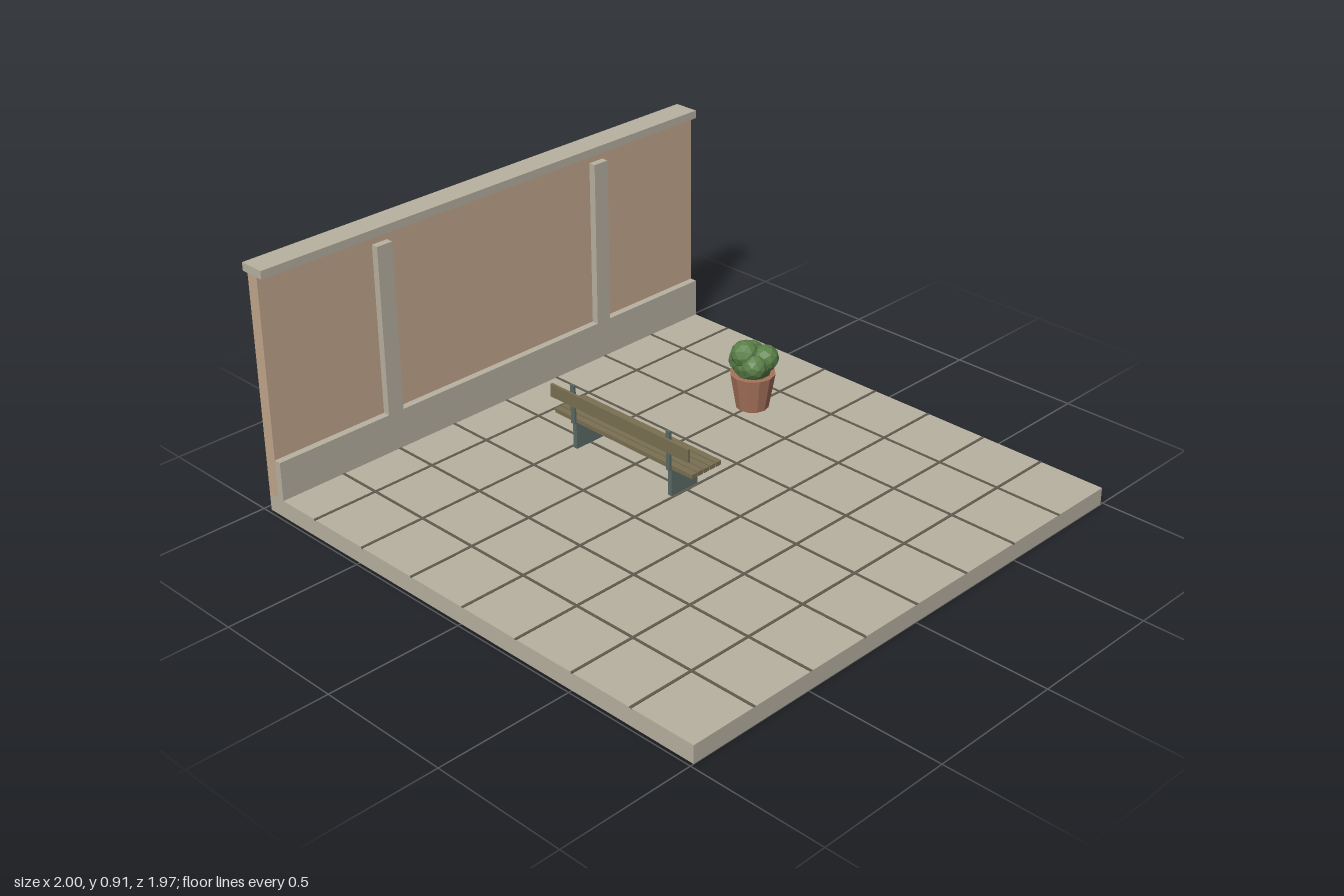
import * as THREE from 'three';

const mat = (color, flatShading = false) => new THREE.MeshStandardMaterial({ color, flatShading });

export function createModel() {
  const root = new THREE.Group();
  const stone = mat(0xb8b1a0), plaster = mat(0xc2a68c), joint = mat(0x5f5b4e);
  const wood = mat(0x7a6f52), iron = mat(0x5c6b66);
  const clay = mat(0xa8735c, true), leaf = mat(0x5a8048, true);

  // Box given by its minimum and maximum on each axis
  const box = (parent, name, material, [x0, x1], [y0, y1], [z0, z1]) => {
    const mesh = new THREE.Mesh(new THREE.BoxGeometry(x1 - x0, y1 - y0, z1 - z0), material);
    mesh.position.set((x0 + x1) / 2, (y0 + y1) / 2, (z0 + z1) / 2);
    mesh.name = name;
    parent.add(mesh);
    return mesh;
  };
  const group = (name) => {
    const g = new THREE.Group();
    g.name = name;
    root.add(g);
    return g;
  };

  const D = 0.987, floorY = 0.065;

  // Paved floor with a square grid of joints
  const floor = group('floor');
  box(floor, 'slab', stone, [-0.975, 1], [0, floorY], [-D, D]);
  const pitch = 0.246, j = 0.005;
  for (let i = -3; i <= 3; i++) {
    const x = 0.009 + i * pitch, z = -0.003 + i * pitch;
    box(floor, 'jointAlongDepth', joint, [x - j, x + j], [floorY - 0.004, floorY + 0.002], [-D, D]);
    box(floor, 'jointAlongWidth', joint, [-0.9, 1], [floorY - 0.004, floorY + 0.002], [z - j, z + j]);
  }

  // Side wall with plinth, pilasters and coping
  const wall = group('wall');
  box(wall, 'wallPanel', plaster, [-0.975, -0.927], [floorY, 0.88], [-D, D]);
  box(wall, 'plinth', stone, [-0.927, -0.9], [floorY, 0.21], [-D, D]);
  box(wall, 'coping', stone, [-1, -0.902], [0.877, 0.907], [-D, D]);
  for (const z of [-0.495, 0.495])
    box(wall, 'pilaster', stone, [-0.927, -0.9], [0.21, 0.842], [z - 0.032, z + 0.032]);

  // Bench, its backrest towards +z
  const bench = group('bench');
  const span = [-0.566, 0.096];
  for (let i = 0; i < 5; i++) {
    const z = -0.066 + i * 0.029;
    box(bench, 'seatSlat', wood, span, [0.168, 0.184], [z - 0.012, z + 0.012]);
  }
  box(bench, 'backrest', wood, span, [0.238, 0.287], [0.071, 0.081]);
  for (const x of [-0.466, -0.006]) {
    box(bench, 'leg', iron, [x - 0.009, x + 0.009], [floorY, 0.168], [-0.062, 0.063]);
    box(bench, 'backPost', iron, [x - 0.009, x + 0.009], [0.165, 0.315], [0.063, 0.072]);
  }

  // Potted shrub
  const plant = group('pottedShrub');
  plant.position.set(-0.239, floorY, -0.595);
  const pot = new THREE.Mesh(new THREE.CylinderGeometry(0.083, 0.06, 0.134, 12), clay);
  pot.position.y = 0.067;
  pot.name = 'pot';
  plant.add(pot);

  // Faceted foliage clumps: x, y, z, radius
  const clumps = [
    [0, 0.17, 0, 0.073], [-0.012, 0.213, 0.03, 0.052], [0.036, 0.195, -0.025, 0.05],
    [-0.034, 0.186, -0.03, 0.05], [0.034, 0.178, 0.03, 0.048], [-0.036, 0.178, 0.02, 0.048],
  ];
  clumps.forEach(([x, y, z, r], n) => {
    const clump = new THREE.Mesh(new THREE.IcosahedronGeometry(r, 1), leaf);
    clump.position.set(x, y, z);
    clump.rotation.set(n * 0.7, n * 1.3, n * 0.4);
    clump.name = 'foliage';
    plant.add(clump);
  });

  return root;
}
